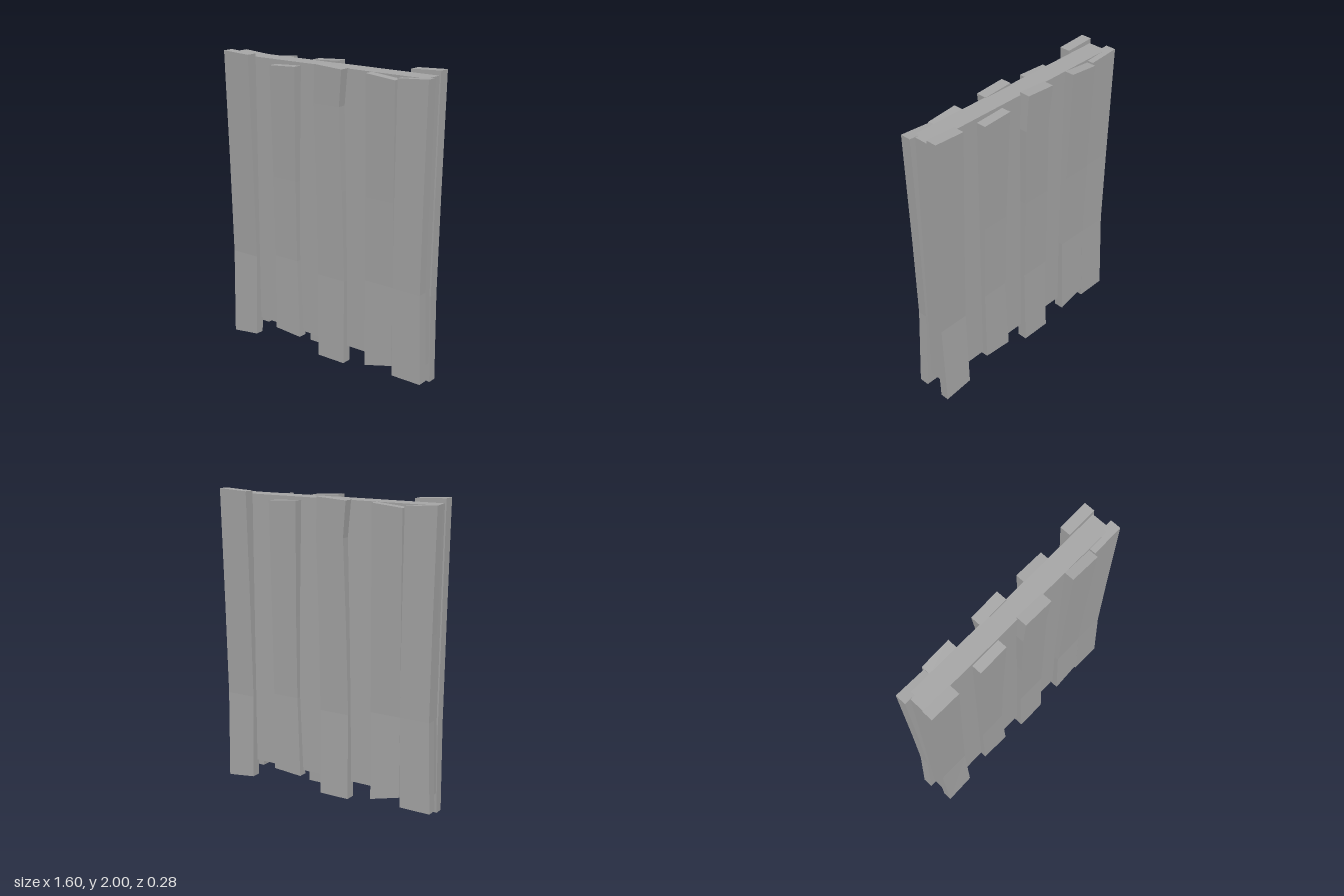
import * as THREE from 'three';

const gray = new THREE.MeshStandardMaterial({ color: 0xa6a6a6 });
gray.name = 'weathered gray';

// Loft a board through rows [yLeft, yRight, xLeft, xRight, zInner, zOuter], bottom to top
function board(name, rows) {
  const n = rows.length - 1;
  const box = new THREE.BoxGeometry(1, 1, 1, 1, n, 1);
  const p = box.attributes.position;
  for (let i = 0; i < p.count; i++) {
    const [yl, yr, xl, xr, zi, zo] = rows[Math.round((p.getY(i) + 0.5) * n)];
    const right = p.getX(i) > 0;
    p.setXYZ(i, right ? xr : xl, right ? yr : yl, p.getZ(i) > 0 ? zo : zi);
  }
  const geo = box.toNonIndexed();
  geo.computeVertexNormals();
  const mesh = new THREE.Mesh(geo, gray);
  mesh.name = name;
  return mesh;
}

// Warped planks of one face, from -x to +x
const planks = [
  [
    [0.005, 0.03, -0.765, -0.56, 0.055, 0.115],
    [0.6, 0.6, -0.77, -0.56, 0.033, 0.098],
    [1.25, 1.25, -0.77, -0.56, 0.048, 0.115],
    [2.0, 1.99, -0.77, -0.56, 0.068, 0.14],
  ],
  [
    [0.125, 0.11, -0.385, -0.175, 0.045, 0.105],
    [0.65, 0.65, -0.385, -0.198, 0.035, 0.098],
    [1.2, 1.2, -0.385, -0.195, 0.045, 0.11],
    [1.94, 1.95, -0.385, -0.178, 0.064, 0.13],
  ],
  [
    [0.03, 0.03, -0.01, 0.2, 0.04, 0.11],
    [0.6, 0.6, -0.016, 0.195, 0.035, 0.098],
    [1.2, 1.2, -0.02, 0.183, 0.045, 0.11],
    [1.74, 1.74, -0.03, 0.168, 0.055, 0.123],
    [1.985, 1.972, -0.02, 0.19, 0.058, 0.13],
  ],
  [
    [0.07, 0.125, 0.372, 0.58, 0.045, 0.11],
    [0.65, 0.65, 0.362, 0.573, 0.035, 0.098],
    [1.2, 1.2, 0.366, 0.575, 0.045, 0.11],
    [1.97, 1.95, 0.372, 0.582, 0.064, 0.13],
  ],
  [
    [0.06, 0.06, 0.585, 0.797, 0.04, 0.108],
    [0.65, 0.65, 0.573, 0.775, 0.035, 0.1],
    [1.2, 1.2, 0.575, 0.783, 0.035, 0.103],
    [1.96, 1.975, 0.585, 0.8, 0.037, 0.108],
  ],
];

export function createModel() {
  const wall = new THREE.Group();
  wall.name = 'plankWall';

  // Solid panel between the two layers of planks
  wall.add(board('corePanel', [
    [0.14, 0.14, -0.76, 0.76, -0.066, 0.066],
    [1.97, 1.97, -0.76, 0.76, -0.066, 0.066],
  ]));

  // The back layer is the front layer turned half round
  for (const side of ['front', 'back']) {
    const layer = new THREE.Group();
    layer.name = side + 'Planks';
    planks.forEach((rows, i) => layer.add(board(side + 'Plank' + (i + 1), rows)));
    if (side === 'back') layer.rotation.y = Math.PI;
    wall.add(layer);
  }
  return wall;
}
